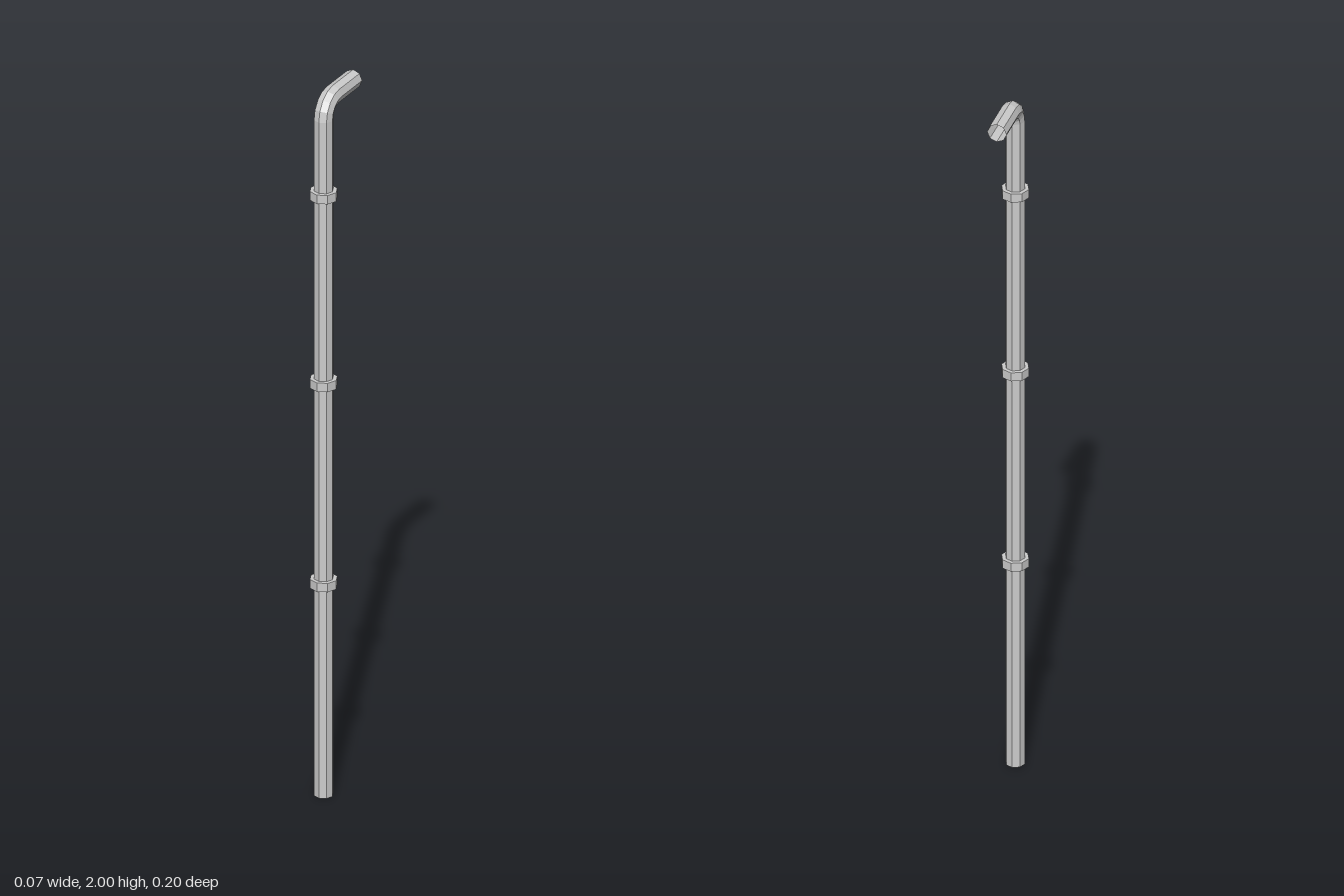
import * as THREE from 'three';

const SIDES = 8;
const PIPE_R = 0.026;
const COLLAR_R = 0.037;
const PIPE_Z = 0.06;
const BEND_R = 0.05;
const BEND_STEPS = 4;
const TOP = 2;

// Straight open tube whose rows are moved along an upright run, a quarter bend and a short spout
function pipeGeometry() {
  const cy = TOP - PIPE_R - BEND_R;
  const cz = PIPE_Z - BEND_R;
  const rows = [{ a: 0, y: 0, z: PIPE_Z }];
  for (let i = 0; i <= BEND_STEPS; i++) {
    const a = (i / BEND_STEPS) * Math.PI / 2;
    rows.push({ a, y: cy + BEND_R * Math.sin(a), z: cz + BEND_R * Math.cos(a) });
  }
  rows.push({ a: Math.PI / 2, y: cy + BEND_R, z: -0.1 });
  rows.reverse(); // cylinder rows run from top to bottom

  const geo = new THREE.CylinderGeometry(PIPE_R, PIPE_R, 1, SIDES, rows.length - 1, true);
  const pos = geo.attributes.position;
  for (let i = 0; i < pos.count; i++) {
    const { a, y, z } = rows[Math.floor(i / (SIDES + 1))];
    const n = pos.getZ(i);
    pos.setXYZ(i, pos.getX(i), y + n * Math.sin(a), z + n * Math.cos(a));
  }
  geo.computeVertexNormals();
  return geo;
}

export function createModel() {
  const group = new THREE.Group();
  group.name = 'drainPipe';
  const material = new THREE.MeshStandardMaterial({
    color: 0xcccccc, flatShading: true, side: THREE.DoubleSide,
  });

  // Hollow pipe, open at both ends
  const pipe = new THREE.Mesh(pipeGeometry(), material);
  pipe.name = 'pipe';
  group.add(pipe);

  // Joint collars along the upright run
  const collarGeo = new THREE.CylinderGeometry(COLLAR_R, COLLAR_R, 0.025, SIDES);
  [0.605, 1.175, 1.71].forEach((y, i) => {
    const collar = new THREE.Mesh(collarGeo, material);
    collar.name = `collar${i + 1}`;
    collar.position.set(0, y, PIPE_Z);
    group.add(collar);
  });

  return group;
}
